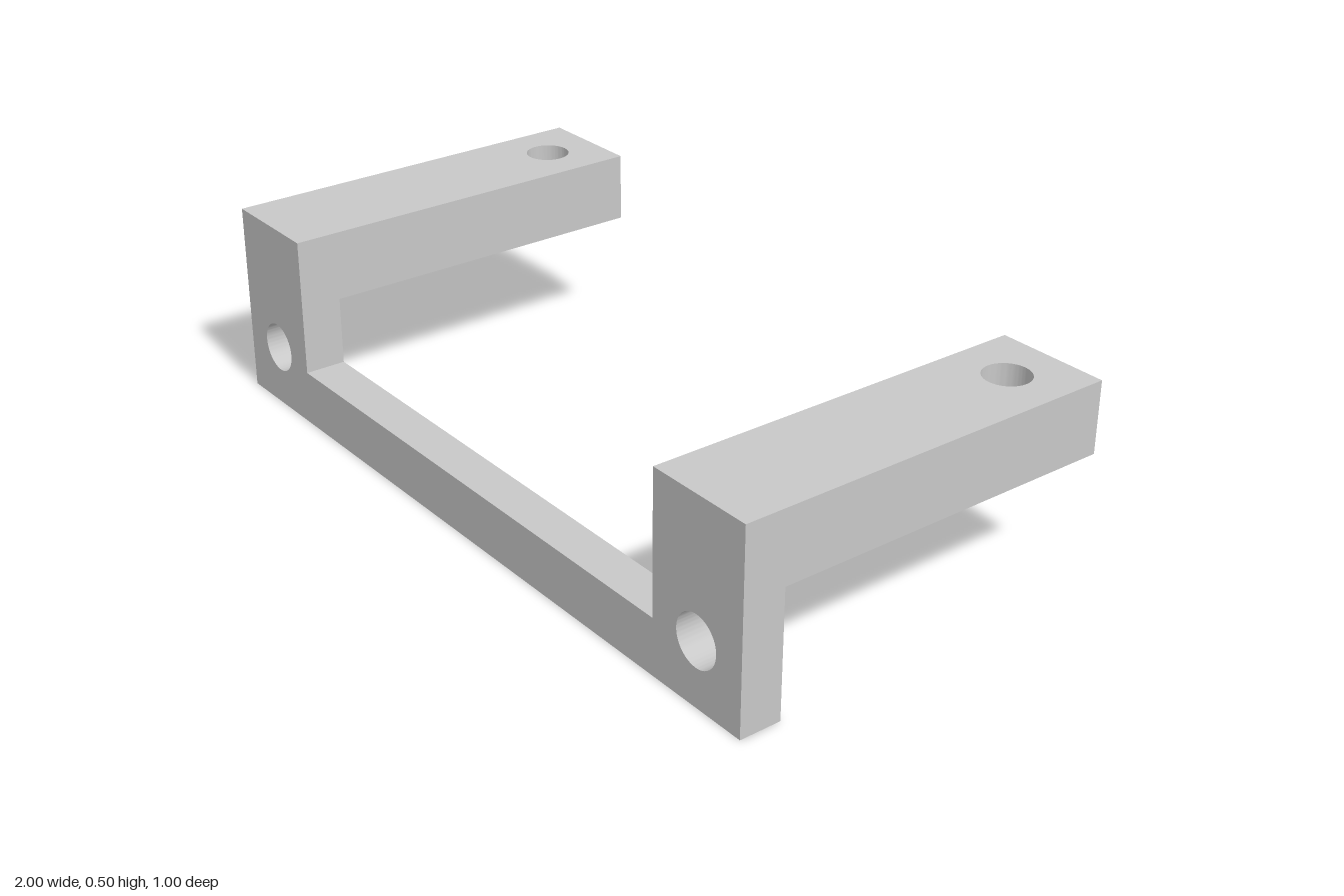
import * as THREE from 'three';
import { toCreasedNormals } from 'three/addons/utils/BufferGeometryUtils.js';

const HOLE_X = 0.857, INNER_X = 0.714;
const BACK_Z = -0.5, PLATE_Z = 0.393, FRONT_Z = 0.5;
const TOP_Y = 0.5, ARM_Y = 0.32, RAIL_Y = 0.143;

function outline(points) {
  return new THREE.Shape(points.map(([x, y]) => new THREE.Vector2(x, y)));
}

function drill(shape, x, y, radius) {
  shape.holes.push(new THREE.Path().absarc(x, y, radius, 0, Math.PI * 2, true));
}

function extrude(shape, depth) {
  const geometry = new THREE.ExtrudeGeometry(shape, { depth, bevelEnabled: false, curveSegments: 40 });
  return toCreasedNormals(geometry, 0.5);
}

export function createModel() {
  const group = new THREE.Group();
  group.name = 'mountingBracket';
  const grey = new THREE.MeshStandardMaterial({ color: 0xc8c8c8 });
  grey.name = 'lightGrey';

  // U-shaped upright plate with a screw hole in each ear
  const plateShape = outline([
    [-1, 0], [1, 0], [1, TOP_Y], [INNER_X, TOP_Y],
    [INNER_X, RAIL_Y], [-INNER_X, RAIL_Y], [-INNER_X, TOP_Y], [-1, TOP_Y],
  ]);
  for (const side of [-1, 1]) drill(plateShape, side * HOLE_X, 0.161, 0.064);
  const plate = new THREE.Mesh(extrude(plateShape, FRONT_Z - PLATE_Z), grey);
  plate.name = 'frontPlate';
  plate.position.z = PLATE_Z;
  group.add(plate);

  // Arms reaching back from the ears, each with a vertical hole near its end
  for (const [name, side] of [['rightArm', -1], ['leftArm', 1]]) {
    const x0 = Math.min(side, side * INNER_X), x1 = Math.max(side, side * INNER_X);
    const armShape = outline([[x0, BACK_Z], [x1, BACK_Z], [x1, PLATE_Z], [x0, PLATE_Z]]);
    drill(armShape, side * HOLE_X, -0.358, 0.057);
    // Lay the outline flat, so that its depth runs downward
    const arm = new THREE.Mesh(extrude(armShape, TOP_Y - ARM_Y).rotateX(Math.PI / 2), grey);
    arm.name = name;
    arm.position.y = TOP_Y;
    group.add(arm);
  }
  return group;
}
